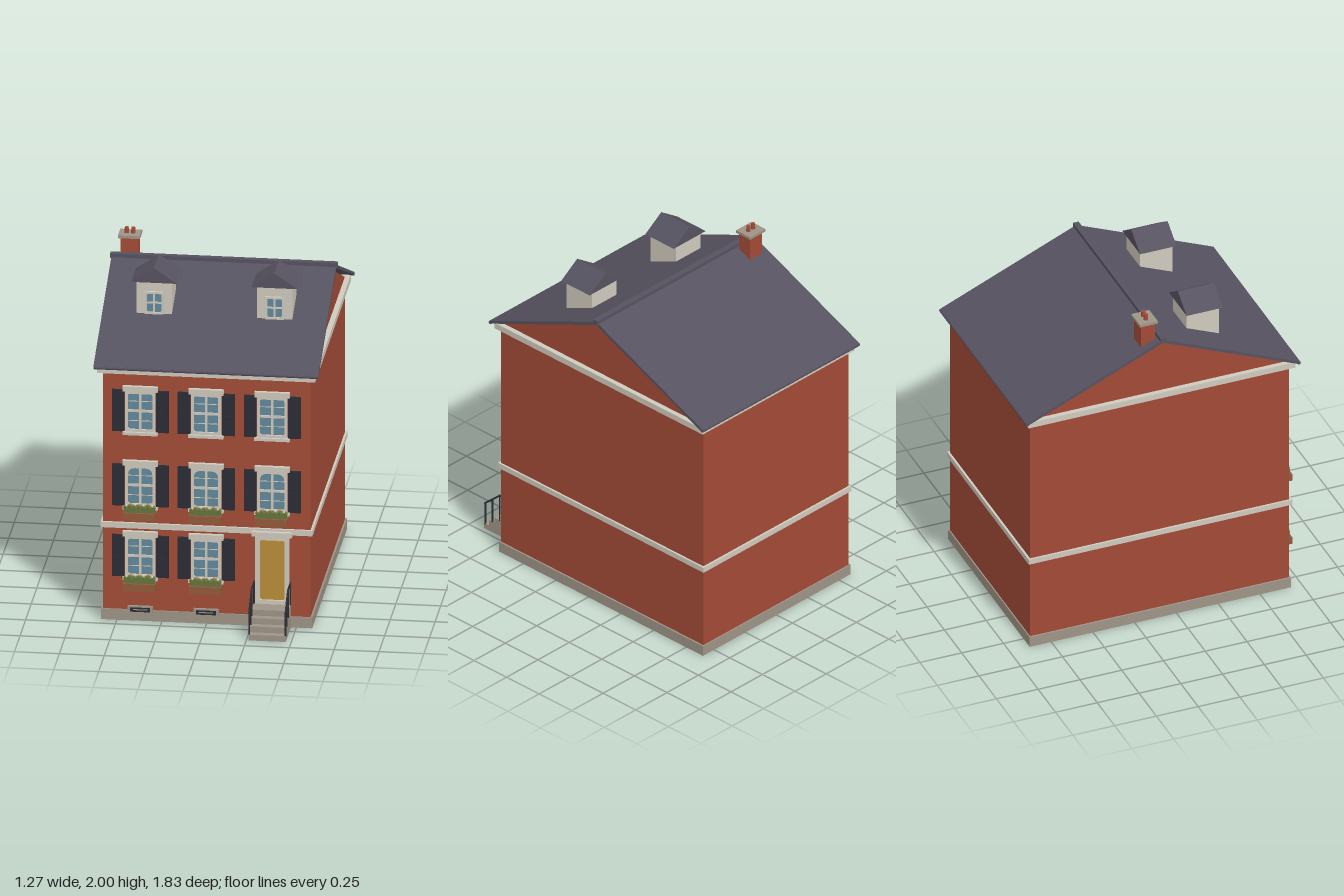
import * as THREE from 'three';

const mat = (name, color) => {
  const m = new THREE.MeshStandardMaterial({ color });
  m.name = name;
  return m;
};

export function createModel() {
  const brick = mat('brick', 0xa34b37), trim = mat('trim', 0xd0cabd), stone = mat('stone', 0x9e9486);
  const slate = mat('slate', 0x565260), glass = mat('glass', 0x62899b), dark = mat('dark paint', 0x2c2d36);
  const doorPaint = mat('door paint', 0xb98d38), leaf = mat('leaves', 0x66753c);
  const wood = mat('wood', 0x925a3a), petal = mat('petals', 0xd08a4a);

  const house = new THREE.Group();
  house.name = 'townhouse';
  const add = (parent, name, geo, m) => {
    const mesh = new THREE.Mesh(geo, m);
    mesh.name = name;
    parent.add(mesh);
    return mesh;
  };
  const group = (name, parent = house) => {
    const g = new THREE.Group();
    g.name = name;
    parent.add(g);
    return g;
  };
  // Box given by its limits on each axis
  const box = (parent, name, m, x0, x1, y0, y1, z0, z1) =>
    add(parent, name, new THREE.BoxGeometry(x1 - x0, y1 - y0, z1 - z0)
      .translate((x0 + x1) / 2, (y0 + y1) / 2, (z0 + z1) / 2), m);
  // Side profile of [z, y] points, extruded along x
  const sideExtrude = (parent, name, m, pts, x0, x1) => {
    const shape = new THREE.Shape(pts.map(([z, y]) => new THREE.Vector2(-z, y)));
    const geo = new THREE.ExtrudeGeometry(shape, { depth: x1 - x0, bevelEnabled: false });
    return add(parent, name, geo.rotateY(Math.PI / 2).translate(x0, 0, 0), m);
  };
  // Flat frame with a round-cornered opening
  const rounded = (path, x, y0, y1, r) => {
    path.moveTo(-x, y0 + 0.008);
    path.lineTo(-x, y1 - r);
    path.quadraticCurveTo(-x, y1, -x + r, y1);
    path.lineTo(x - r, y1);
    path.quadraticCurveTo(x, y1, x, y1 - r);
    path.lineTo(x, y0 + 0.008);
    path.lineTo(x - 0.008, y0);
    path.lineTo(-x + 0.008, y0);
    path.closePath();
    return path;
  };
  const frame = (parent, name, m, w, y0, y1, border, r, z0, z1) => {
    const shape = new THREE.Shape([[-w, y0], [w, y0], [w, y1], [-w, y1]].map(p => new THREE.Vector2(...p)));
    shape.holes.push(rounded(new THREE.Path(), w - border, y0 + border, y1 - border, r));
    const geo = new THREE.ExtrudeGeometry(shape, { depth: z1 - z0, bevelEnabled: false, curveSegments: 5 });
    return add(parent, name, geo.translate(0, 0, z0), m);
  };

  // Walls with gables, plinth and bands
  const F = 0.677, B = -0.873, ridgeZ = -0.097;
  sideExtrude(house, 'walls', brick,
    [[F, 0.03], [F, 1.49], [ridgeZ, 1.838], [B, 1.49], [B, 0.03]], -0.578, 0.578);
  box(house, 'plinth', stone, -0.588, 0.588, 0, 0.063, -0.88, 0.685);
  box(house, 'stringCourse', trim, -0.59, 0.59, 0.546, 0.578, -0.886, 0.692);
  box(house, 'cornice', trim, -0.607, 0.607, 1.46, 1.496, -0.895, 0.702);

  // Main roof, eave rolls and ridge cap
  sideExtrude(house, 'roof', slate, [[0.722, 1.489], [0.722, 1.507], [ridgeZ, 1.857],
    [-0.912, 1.507], [-0.912, 1.489], [ridgeZ, 1.837]], -0.626, 0.626);
  for (const z of [0.718, -0.908])
    add(house, 'eaveRoll', new THREE.CylinderGeometry(0.01, 0.01, 1.252, 8)
      .rotateZ(Math.PI / 2).translate(0, 1.498, z), slate);
  box(house, 'ridgeCap', slate, -0.633, 0.633, 1.845, 1.871, ridgeZ - 0.017, ridgeZ + 0.017);

  // Chimney
  const chimney = group('chimney');
  box(chimney, 'chimneyStack', brick, -0.58, -0.483, 1.76, 1.95, -0.211, -0.126);
  box(chimney, 'chimneyCap', stone, -0.594, -0.471, 1.95, 1.966, -0.223, -0.115);
  for (const x of [-0.551, -0.514])
    add(chimney, 'chimneyPot', new THREE.CylinderGeometry(0.011, 0.013, 0.036, 10)
      .translate(x, 1.982, -0.169), brick);

  // Dormers
  for (const x of [-0.337, 0.334]) {
    const d = group('dormer');
    d.position.x = x;
    box(d, 'dormerBody', trim, -0.098, 0.098, 1.68, 1.868, 0.122, 0.318);
    const gable = new THREE.Shape([[-0.128, 1.865], [0.128, 1.865], [0, 1.952]].map(p => new THREE.Vector2(...p)));
    add(d, 'dormerRoof', new THREE.ExtrudeGeometry(gable, { depth: 0.218, bevelEnabled: false })
      .translate(0, 0, 0.111), slate);
    frame(d, 'dormerFrame', trim, 0.053, 1.68, 1.812, 0.012, 0.008, 0.318, 0.331);
    box(d, 'dormerGlass', glass, -0.042, 0.042, 1.69, 1.802, 0.317, 0.322);
    box(d, 'dormerMullion', trim, -0.005, 0.005, 1.69, 1.802, 0.32, 0.327);
    box(d, 'dormerTransom', trim, -0.042, 0.042, 1.742, 1.752, 0.32, 0.327);
  }

  // Planter with leaves and flowers, hung below the top edge y = 0
  const planter = parent => {
    const p = group('planter', parent);
    box(p, 'planterBox', wood, -0.09, 0.09, -0.336, -0.293, F, 0.746);
    box(p, 'foliage', leaf, -0.085, 0.085, -0.295, -0.262, F + 0.005, 0.735);
    for (let i = 0; i < 7; i++) {
      const x = -0.075 + i * 0.025;
      add(p, 'leafClump', new THREE.IcosahedronGeometry(0.018, 0)
        .translate(x, -0.266 + (i % 2) * 0.004, 0.722), leaf);
      add(p, 'flower', new THREE.IcosahedronGeometry(0.008, 0)
        .translate(x * 0.95, -0.25 + (i % 3) * 0.003, 0.736 - (i % 2) * 0.012), i % 2 ? petal : trim);
    }
  };

  // Shuttered sash window, y = 0 at the top of its lintel
  const sashWindow = (x, top, cornerRadius, hasPlanter) => {
    const w = group('window');
    w.position.set(x, top, 0);
    frame(w, 'windowFrame', trim, 0.084, -0.27, -0.028, 0.016, cornerRadius, F, 0.694);
    box(w, 'windowGlass', glass, -0.075, 0.075, -0.262, -0.035, F - 0.002, 0.683);
    box(w, 'mullion', trim, -0.006, 0.006, -0.262, -0.035, 0.68, 0.689);
    for (const y of [-0.09, -0.146, -0.205])
      box(w, 'glazingBar', trim, -0.075, 0.075, y - (y === -0.146 ? 0.007 : 0.002),
        y + (y === -0.146 ? 0.007 : 0.002), 0.68, y === -0.146 ? 0.69 : 0.685);
    box(w, 'lintel', trim, -0.098, 0.098, -0.03, 0, F, 0.7);
    box(w, 'sill', trim, -0.098, 0.098, -0.285, -0.268, F, 0.707);
    for (const s of [-1, 1]) {
      const c = s * 0.123;
      box(w, 'shutter', dark, c - 0.035, c + 0.035, -0.27, -0.025, F, 0.69);
      for (const [y0, y1] of [[-0.26, -0.155], [-0.143, -0.035]])
        box(w, 'shutterPanel', dark, c - 0.025, c + 0.025, y0, y1, 0.69, 0.694);
    }
    if (hasPlanter) planter(w);
  };
  const bays = [-0.369, -0.002, 0.366];
  bays.forEach((x, i) => {
    sashWindow(x, 1.387, 0.012, false);
    sashWindow(x, 0.948, 0.04, true);
    if (i < 2) sashWindow(x, 0.53, 0.015, true);
  });

  // Basement vents
  for (const x of bays.slice(0, 2)) {
    const v = group('basementVent');
    v.position.x = x;
    box(v, 'ventSurround', stone, -0.07, 0.07, 0.026, 0.088, F, 0.692);
    box(v, 'ventOpening', dark, -0.055, 0.055, 0.055, 0.08, 0.69, 0.695);
    box(v, 'ventBar', stone, -0.04, 0.04, 0.066, 0.071, 0.692, 0.698);
  }

  // Front door
  const door = group('door');
  door.position.x = 0.366;
  frame(door, 'doorFrame', trim, 0.096, 0.134, 0.54, 0.025, 0.014, F, 0.697);
  box(door, 'doorBack', trim, -0.09, 0.09, 0.14, 0.53, F - 0.002, 0.681);
  add(door, 'doorLeaf', new THREE.ExtrudeGeometry(
    rounded(new THREE.Shape(), 0.069, 0.16, 0.507, 0.012), { depth: 0.007, bevelEnabled: false })
    .translate(0, 0, 0.681), doorPaint);
  box(door, 'doorLintel', trim, -0.112, 0.112, 0.538, 0.565, F, 0.715);

  // Entrance steps
  const steps = group('steps');
  [0.915, 0.875, 0.835, 0.793].forEach((z, i) =>
    box(steps, 'step', stone, 0.263, 0.469, i * 0.034, (i + 1) * 0.034, F, z));

  // Handrails on both sides
  const rod = (parent, name, a, b) => {
    const p = new THREE.Vector3(...a), q = new THREE.Vector3(...b);
    const m = add(parent, name, new THREE.CylinderGeometry(0.005, 0.005, p.distanceTo(q) + 0.006, 8), dark);
    m.position.copy(p).lerp(q, 0.5);
    m.quaternion.setFromUnitVectors(new THREE.Vector3(0, 1, 0), q.sub(p).normalize());
  };
  for (const x of [0.265, 0.467]) {
    const r = group('railing');
    rod(r, 'slopedRail', [x, 0.165, 0.907], [x, 0.262, 0.795]);
    rod(r, 'levelRail', [x, 0.262, 0.795], [x, 0.262, 0.685]);
    for (const [z, y0, y1] of [[0.905, 0.03, 0.165], [0.85, 0.068, 0.213], [0.795, 0.1, 0.262], [0.692, 0.134, 0.262]])
      rod(r, 'railPost', [x, y0, z], [x, y1, z]);
  }
  return house;
}
